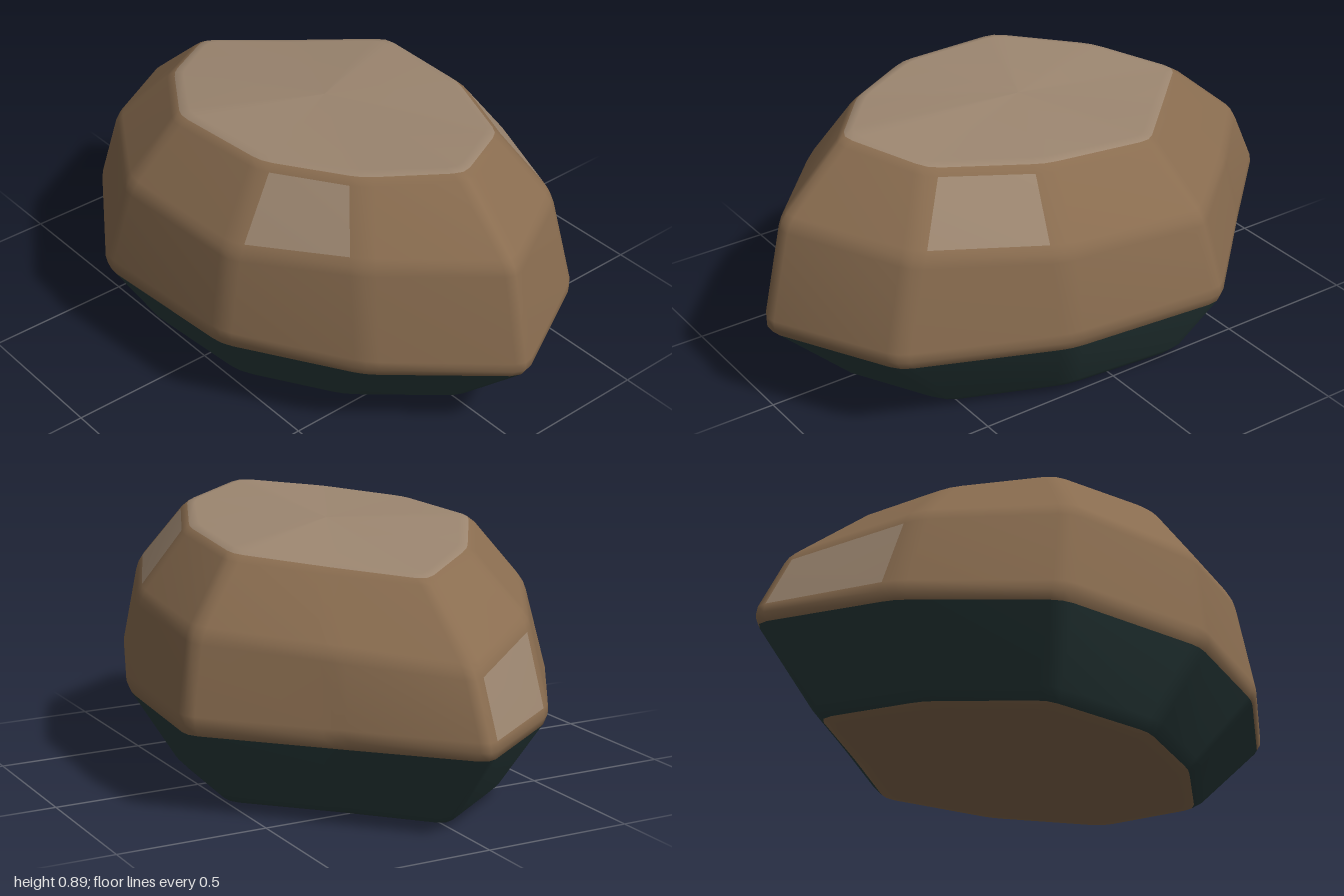
import * as THREE from 'three';

const V = (x, y, z) => new THREE.Vector3(x, y, z);

// Cross-sections, each corner [x, y, z], running +x, +z, -x, -z
const WIDEST = [[1.02, 0], [0.69, 0.38], [0.27, 0.635], [-0.3, 0.68], [-0.74, 0.39], [-1.02, 0],
  [-0.66, -0.34], [-0.3, -0.69], [0.27, -0.64], [0.79, -0.43]].map(([x, z]) => [x, 0.3, z]);
const BOTTOM = WIDEST.map(([x, , z]) => [x * 0.72 - 0.03, 0, z * 0.74]);
const SHOULDER = [[0.94, 0.66, 0], [0.63, 0.65, 0.35], [0.27, 0.62, 0.585], [-0.23, 0.63, 0.62],
  [-0.64, 0.6, 0.37], [-0.91, 0.53, 0], [-0.6, 0.56, -0.32], [-0.25, 0.58, -0.63],
  [0.27, 0.6, -0.59], [0.7, 0.63, -0.4]];
const TOP = [[0.7, 0.89, 0], [0.5, 0.875, 0.245], [0.22, 0.865, 0.415], [-0.17, 0.855, 0.44],
  [-0.46, 0.81, 0.25], [-0.63, 0.765, 0], [-0.4, 0.785, -0.225], [-0.17, 0.81, -0.45],
  [0.22, 0.83, -0.42], [0.56, 0.855, -0.27]];

// Replaces a corner by three points of a small rounded bevel
function bevel(prev, p, next, size) {
  const a = p.clone().add(prev.clone().sub(p).setLength(size));
  const b = p.clone().add(next.clone().sub(p).setLength(size));
  const middle = a.clone().add(b).multiplyScalar(0.25).addScaledVector(p, 0.5);
  return [a, middle, b];
}

export function createModel() {
  // Round the corners around each section
  const rings = [BOTTOM, WIDEST, SHOULDER, TOP].map((ring) => {
    const pts = ring.map((p) => V(...p));
    const n = pts.length;
    return pts.flatMap((p, i) => bevel(pts[(i + n - 1) % n], p, pts[(i + 1) % n], 0.04));
  });
  const cols = rings[0].length;

  // Round the edges up each column, from bottom centre to top centre
  const sizes = [0, 0.055, 0.035, 0.03, 0.035];
  const vertices = [];
  let rows = 0;
  for (let j = 0; j < cols; j++) {
    const line = [V(-0.03, 0, 0), ...rings.map((r) => r[j]), V(0.03, 0.85, 0)];
    const column = [line[0]];
    for (let i = 1; i < line.length - 1; i++) column.push(...bevel(line[i - 1], line[i], line[i + 1], sizes[i]));
    column.push(line[line.length - 1]);
    rows = column.length;
    column.forEach((p) => vertices.push(p.x, p.y, p.z));
  }

  // Which part a patch belongs to: row band r, column band j
  const facets = { '9,5': 'frontFacet', '9,26': 'backFacet', '6,14': 'sideFacet' };
  const partAt = (r, j) => {
    if (r < 2) return 'underside';
    if (r < 4) return 'lowerBody';
    if (r > 10) return 'topFace';
    return facets[`${r},${j}`] || 'upperBody';
  };
  const parts = {};
  const all = [];
  for (let j = 0; j < cols; j++) {
    for (let r = 0; r < rows - 1; r++) {
      const a = j * rows + r;
      const b = ((j + 1) % cols) * rows + r;
      const tris = [];
      if (r < rows - 2) tris.push(a, a + 1, b + 1);
      if (r > 0) tris.push(a, b + 1, b);
      if (r === rows - 2) tris.push();
      (parts[partAt(r, j)] ||= []).push(...tris);
      all.push(...tris);
    }
  }

  // Shared smooth normals, so the bevels blend across part borders
  const stone = new THREE.BufferGeometry();
  stone.setAttribute('position', new THREE.Float32BufferAttribute(vertices, 3));
  stone.setIndex(all);
  stone.computeVertexNormals();

  const brown = new THREE.MeshStandardMaterial({ color: 0x8a6d50 });
  const pale = new THREE.MeshStandardMaterial({ color: 0x9c8670 });
  const teal = new THREE.MeshStandardMaterial({ color: 0x2a3d3d });
  const materials = { underside: brown, upperBody: brown, lowerBody: teal };

  const group = new THREE.Group();
  group.name = 'boulder';
  for (const [name, index] of Object.entries(parts)) {
    const geometry = stone.clone();
    geometry.setIndex(index);
    const mesh = new THREE.Mesh(geometry.toNonIndexed(), materials[name] || pale);
    mesh.name = name;
    group.add(mesh);
  }
  return group;
}
